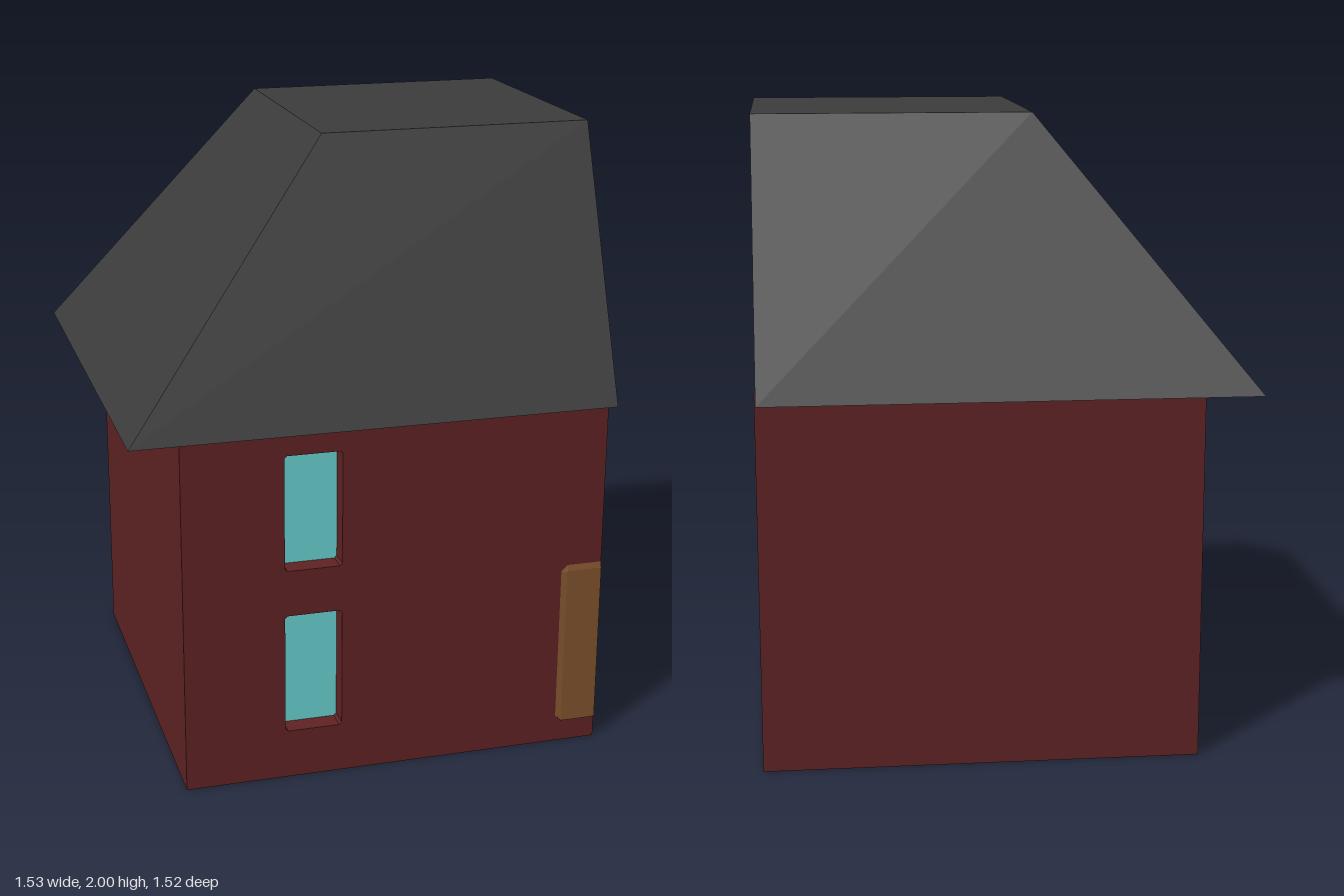
import * as THREE from 'three';

const flat = (name, color) =>
  new THREE.MeshStandardMaterial({ name, color, side: THREE.DoubleSide });

// Flat-faced geometry from quads, corners counter-clockwise from outside
function quads(list) {
  const pos = list.flatMap(([a, b, c, d]) => [a, b, c, a, c, d].flat());
  const g = new THREE.BufferGeometry();
  g.setAttribute('position', new THREE.Float32BufferAttribute(pos, 3));
  g.computeVertexNormals();
  return g;
}

// Outline of a rectangle with chosen corners chamfered
function outline(x0, x1, y0, y1, left, right = left) {
  return [
    [x0 + left, y0], [x1 - right, y0], [x1, y0 + right], [x1, y1 - right],
    [x1 - right, y1], [x0 + left, y1], [x0, y1 - left], [x0, y0 + left],
  ].filter((p, i, all) => i === 0 || p[0] !== all[i - 1][0] || p[1] !== all[i - 1][1]);
}
const toVectors = (pts) => pts.map(([x, y]) => new THREE.Vector2(x, y));

// Strip of faces joining two matching outlines at different depths
function strip(a, za, b, zb) {
  return quads(a.map((p, i) => {
    const j = (i + 1) % a.length;
    return [[...p, za], [...a[j], za], [...b[j], zb], [...b[i], zb]];
  }));
}

// Three-sided box shell, open at the top and on the cut side
function openBox(x0, x1, y0, y1, z, inward, withFront) {
  const list = [
    [[x1, y0, -z], [x0, y0, -z], [x0, y1, -z], [x1, y1, -z]],
    [[x0, y0, -z], [x0, y0, z], [x0, y1, z], [x0, y1, -z]],
    [[x0, y0, -z], [x1, y0, -z], [x1, y0, z], [x0, y0, z]],
  ];
  if (withFront) list.push([[x0, y0, z], [x1, y0, z], [x1, y1, z], [x0, y1, z]]);
  return quads(inward ? list.map((q) => [...q].reverse()) : list);
}

export function createModel() {
  const house = new THREE.Group();
  house.name = 'halfHouse';
  const red = flat('wallRed', 0x5f2223);
  const grey = flat('roofGrey', 0x3c3c3c);
  const cyan = flat('windowCyan', 0x67d1d0);
  const brown = flat('doorBrown', 0x80522d);

  const add = (name, geometry, material, parent = house) => {
    const mesh = new THREE.Mesh(geometry, material);
    mesh.name = name;
    parent.add(mesh);
    return mesh;
  };

  const L = -0.6, R = 0.765, H = 1.185, Z = 0.68;   // outer walls
  const IL = -0.465, IZ = 0.545, floorY = 0.06;     // room inside

  // Hollow walls
  add('outerWalls', openBox(L, R, 0, H, Z, false, false), red);
  add('innerWalls', openBox(IL, R, floorY, H, IZ, true, true), red);
  add('wallTops', quads([
    [[L, H, Z], [R, H, Z], [R, H, IZ], [L, H, IZ]],
    [[L, H, -IZ], [R, H, -IZ], [R, H, -Z], [L, H, -Z]],
    [[L, H, IZ], [IL, H, IZ], [IL, H, -IZ], [L, H, -IZ]],
  ]), red);

  // Front wall with openings for the windows and half door
  const windows = [[0.16, 0.555], [0.705, 1.08]]
    .map(([y0, y1]) => outline(-0.28, -0.097, y0, y1, 0.008));
  const front = new THREE.Shape(toVectors([
    [L, 0], [R, 0], [R, 0.07], [0.65, 0.07], [0.63, 0.09],
    [0.63, 0.602], [0.65, 0.622], [R, 0.622], [R, H], [L, H],
  ]));
  windows.forEach((w) => front.holes.push(new THREE.Path(toVectors(w))));
  add('frontWall', new THREE.ShapeGeometry(front), red).position.z = Z;

  // Recessed windows
  windows.forEach((w, i) => {
    const group = new THREE.Group();
    group.name = i ? 'upperWindow' : 'lowerWindow';
    house.add(group);
    add('windowReveal', strip(w, 0.615, w, Z), red, group);
    const pane = new THREE.ShapeGeometry(new THREE.Shape(toVectors(w)));
    add('windowPane', pane, cyan, group).position.z = 0.615;
  });

  // Half door with a bevelled rim, cut through at the open side
  const door = new THREE.Group();
  door.name = 'door';
  house.add(door);
  const rim = [[R, 0.07], [R, 0.622], [0.65, 0.622], [0.63, 0.602], [0.63, 0.09], [0.65, 0.07]];
  const panel = [[R, 0.072], [R, 0.602], [0.65, 0.602], [0.648, 0.6], [0.648, 0.09], [0.65, 0.072]];
  add('doorRim', strip(rim, Z, panel, Z + 0.005), brown, door);
  const doorFace = new THREE.ShapeGeometry(new THREE.Shape(toVectors(panel)));
  add('doorPanel', doorFace, brown, door).position.z = Z + 0.005;

  // Hipped roof with a flat top, open on the cut side
  const e = 1.17, t = 2, x0 = -0.765, x1 = -0.095, xr = 0.76, zb = 0.76, zt = 0.427;
  add('roof', quads([
    [[x0, e, zb], [xr, e, zb], [xr, t, zt], [x1, t, zt]],
    [[xr, e, -zb], [x0, e, -zb], [x1, t, -zt], [xr, t, -zt]],
    [[x0, e, -zb], [x0, e, zb], [x1, t, zt], [x1, t, -zt]],
    [[x1, t, zt], [xr, t, zt], [xr, t, -zt], [x1, t, -zt]],
  ]), grey);
  add('ceiling', quads([
    [[x0, e, -zb], [xr, e, -zb], [xr, e, zb], [x0, e, zb]],
  ]), grey);

  return house;
}
